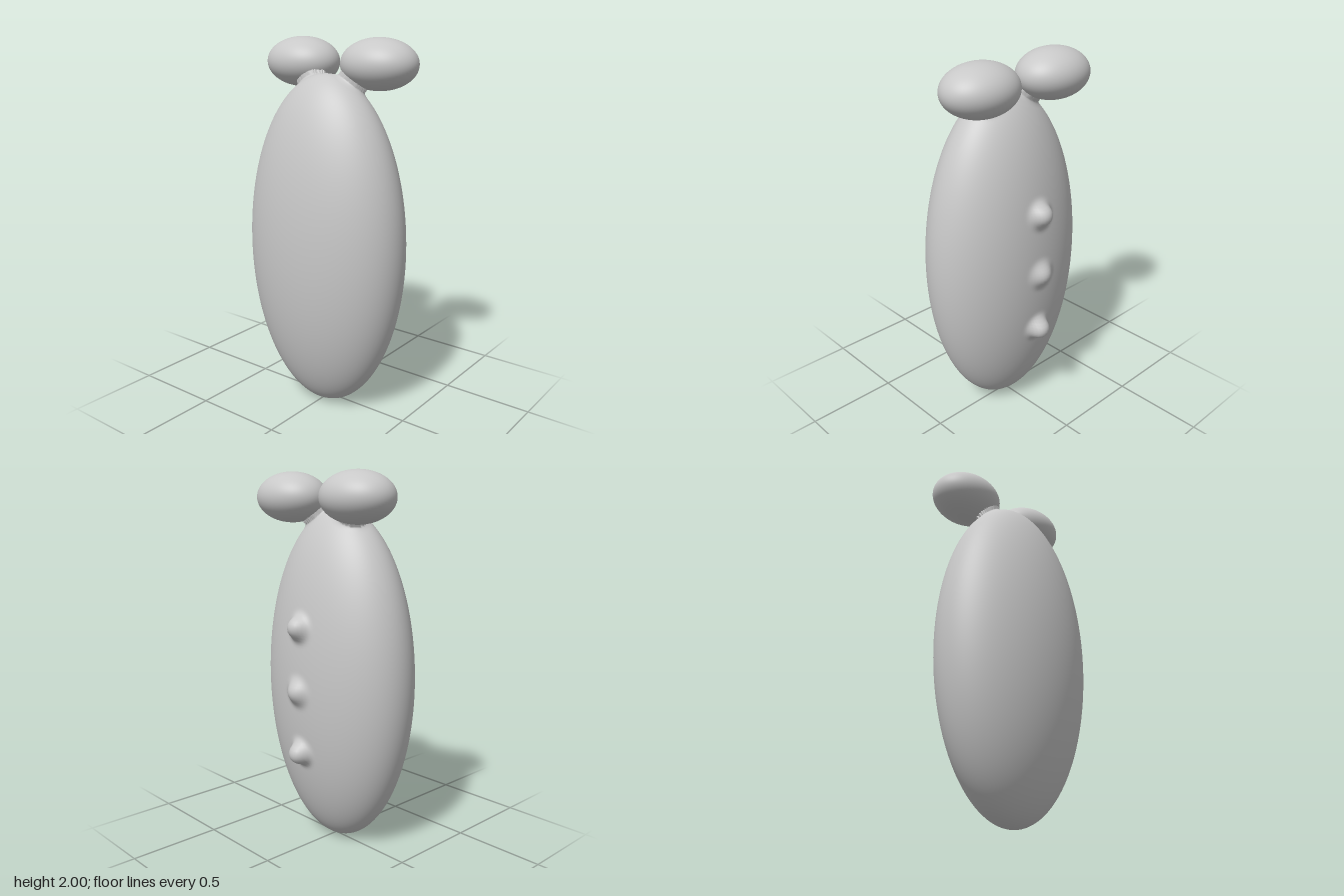
import * as THREE from 'three';
import { mergeVertices } from 'three/addons/utils/BufferGeometryUtils.js';

const vec = (x, y, z) => new THREE.Vector3(x, y, z);

// Sizes of the egg-shaped body, the two knobs on top and the three studs
const body = { c: vec(-0.025, 0.91, 0), r: vec(0.305, 0.91, 0.47) };
const knobs = [-1, 1].map((s) => ({ c: vec(0.092, 1.868, 0.245 * s), r: vec(0.172, 0.132, 0.21) }));
const studs = [0.54, 0.877, 1.215].map((y) => ({ c: vec(0.272, y, 0), r: vec(0.056, 0.056, 0.056) }));

// Approximate signed distance to an ellipsoid
function distance(p, { c, r }) {
  const q = p.clone().sub(c).divide(r);
  const k = q.length();
  return (k * (k - 1)) / Math.max(q.divide(r).length(), 1e-6);
}

// Union of two distances with a soft fillet of width k
function blend(a, b, k) {
  const h = Math.max(k - Math.abs(a - b), 0) / k;
  return Math.min(a, b) - (h * h * k) / 4;
}

function ellipsoid({ c, r }, w, h) {
  return new THREE.SphereGeometry(1, w, h).scale(r.x, r.y, r.z).translate(c.x, c.y, c.z);
}

// Body skin: each vertex moves out along its normal to the blended surface
function bodyGeometry() {
  let geo = ellipsoid(body, 220, 200);
  geo.deleteAttribute('uv');
  geo.deleteAttribute('normal');
  geo = mergeVertices(geo, 1e-5);
  const pos = geo.attributes.position;
  const p = vec(0, 0, 0);
  const field = (q) => {
    let d = distance(q, body);
    for (const s of studs) d = blend(d, distance(q, s), 0.05);
    for (const e of knobs) d = blend(d, distance(q, e), 0.05);
    return d;
  };
  const buried = (q) => knobs.some((e) => distance(q, e) < -0.015);
  for (let i = 0; i < pos.count; i++) {
    p.fromBufferAttribute(pos, i);
    const n = p.clone().sub(body.c).divide(body.r).divide(body.r).normalize();
    for (let step = 0; step < 40 && !buried(p); step++) {
      const d = field(p);
      if (d > -0.0003) break;
      p.addScaledVector(n, Math.min(-d * 0.7, 0.01));
    }
    pos.setXYZ(i, p.x, p.y, p.z);
  }
  geo.computeVertexNormals();
  return geo;
}

export function createModel() {
  const group = new THREE.Group();
  const clay = new THREE.MeshStandardMaterial({ color: 0xc8c8c8 });
  clay.name = 'light grey';
  const add = (name, geo) => {
    const mesh = new THREE.Mesh(geo, clay);
    mesh.name = name;
    group.add(mesh);
  };

  add('bodyWithStuds', bodyGeometry());
  add('rightKnob', ellipsoid(knobs[0], 64, 48));
  add('leftKnob', ellipsoid(knobs[1], 64, 48));
  return group;
}
